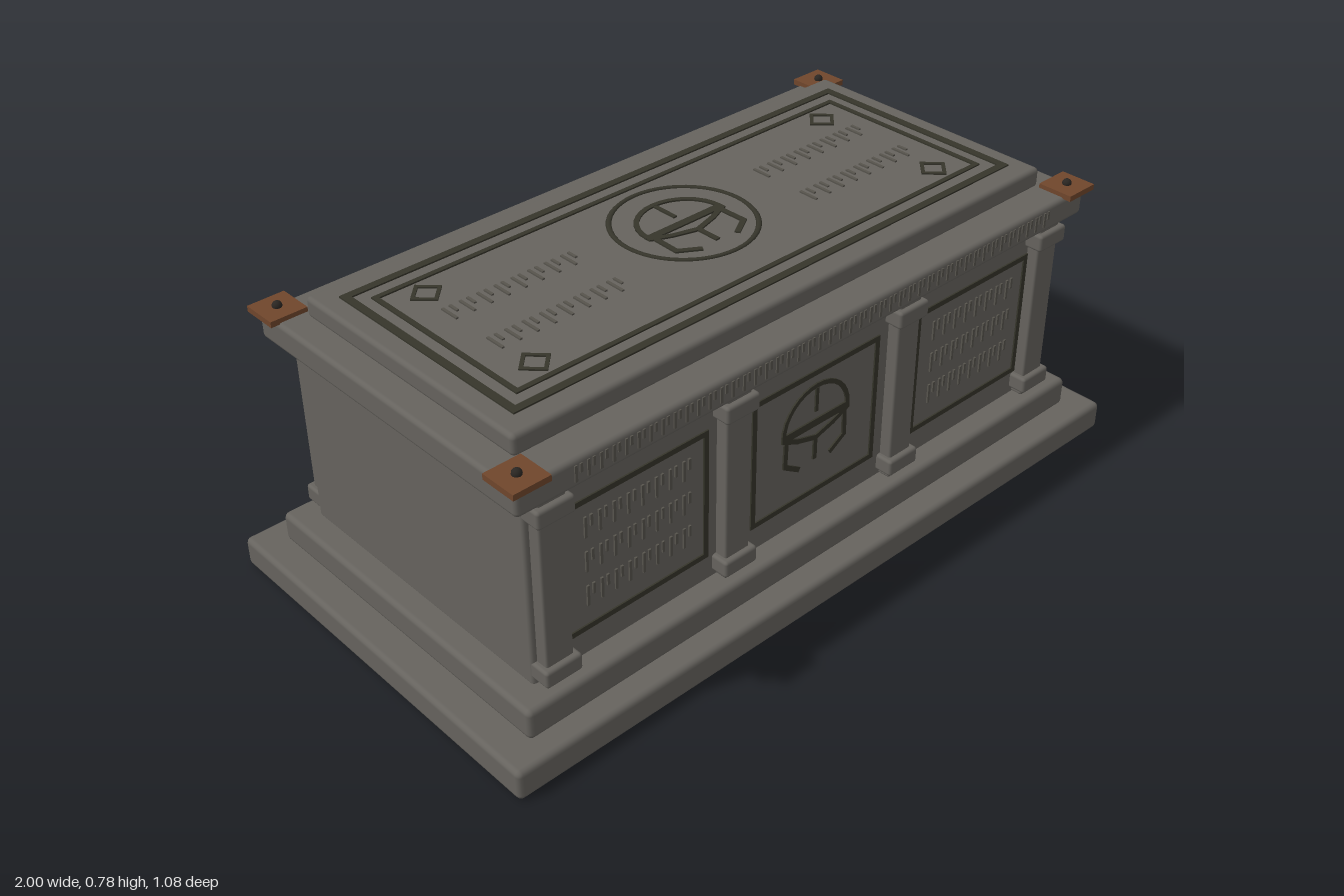
import * as THREE from 'three';
import { RoundedBoxGeometry } from 'three/addons/geometries/RoundedBoxGeometry.js';

const material = (name, color) => {
  const m = new THREE.MeshStandardMaterial({ color });
  m.name = name;
  return m;
};

export function createModel() {
  const stone = material('stone', 0x66635e);
  const carving = material('darkCarving', 0x36352b);
  const notch = material('notchedStone', 0x57544d);
  const copper = material('copper', 0x70462c);
  const iron = material('iron', 0x2a2622);
  const model = new THREE.Group();
  model.name = 'stoneChest';

  const add = (parent, name, geometry, mat, x = 0, y = 0, z = 0) => {
    const mesh = new THREE.Mesh(geometry, mat);
    mesh.name = name;
    mesh.position.set(x, y, z);
    parent.add(mesh);
    return mesh;
  };
  // Rounded block standing between heights y0 and y1
  const block = (name, w, y0, y1, d, x = 0, z = 0, r = 0.01) =>
    add(model, name, new RoundedBoxGeometry(w, y1 - y0, d, 2, r), stone, x, (y0 + y1) / 2, z);

  // Stepped plinth, body and lid
  block('base', 1.994, 0, 0.08, 1.07, 0, 0, 0.014).rotation.y = -0.006;
  block('step', 1.84, 0.078, 0.158, 0.94, 0, 0, 0.014);
  block('body', 1.712, 0.15, 0.665, 0.815);
  block('lid', 1.814, 0.66, 0.73, 0.914, 0, 0, 0.012);
  block('lidSlab', 1.676, 0.725, 0.779, 0.734, 0, 0, 0.012);

  // Pilasters along front and back
  for (const side of [1, -1]) {
    for (const x of [-0.805, -0.28, 0.28, 0.805]) {
      block('pilasterShaft', 0.075, 0.158, 0.662, 0.06, x, side * 0.41, 0.006);
      block('pilasterFoot', 0.1, 0.174, 0.219, 0.09, x, side * 0.41, 0.008);
      block('pilasterCapital', 0.1, 0.6, 0.646, 0.09, x, side * 0.41, 0.008);
    }
  }

  // Corner plates with rivets
  for (const sx of [1, -1]) {
    for (const sz of [1, -1]) {
      add(model, 'cornerPlate', new THREE.BoxGeometry(0.096, 0.015, 0.096), copper, sx * 0.876, 0.734, sz * 0.426);
      add(model, 'rivet', new THREE.SphereGeometry(0.012, 12, 8), iron, sx * 0.876, 0.744, sz * 0.426);
    }
  }

  // Reliefs are drawn in a local xy plane, facing +z
  const depth = 0.008;
  const relief = (name, x, y, z) => {
    const g = new THREE.Group();
    g.name = name;
    g.position.set(x, y, z);
    model.add(g);
    return g;
  };
  const stroke = (parent, points, width, mat = carving) => {
    for (let i = 1; i < points.length; i++) {
      const [x0, y0] = points[i - 1], [x1, y1] = points[i];
      const len = Math.hypot(x1 - x0, y1 - y0);
      const m = add(parent, 'stroke', new THREE.BoxGeometry(len + width * 0.6, width, depth), mat,
        (x0 + x1) / 2, (y0 + y1) / 2);
      m.rotation.z = Math.atan2(y1 - y0, x1 - x0);
    }
  };
  const frame = (parent, w, h, t) => {
    const path = (P, a, b) => {
      const p = new P();
      p.moveTo(-a, -b).lineTo(a, -b).lineTo(a, b).lineTo(-a, b).closePath();
      return p;
    };
    const shape = path(THREE.Shape, w, h);
    shape.holes.push(path(THREE.Path, w - t, h - t));
    return add(parent, 'frame', new THREE.ExtrudeGeometry(shape, { depth: depth / 2, bevelEnabled: false }), carving);
  };
  // Row of decorative notches: one tall, one short
  const notches = (parent, x0, x1, y, count, h) => {
    const pitch = (x1 - x0) / count;
    for (let i = 0; i < count; i++) {
      const x = x0 + pitch * (i + 0.3);
      stroke(parent, [[x, y - h / 2], [x, y + h / 2]], 0.007, notch);
      stroke(parent, [[x + pitch * 0.42, y], [x + pitch * 0.42, y + h / 2]], 0.007, notch);
    }
  };
  // Simple open-faced helm ornament
  const helm = (parent, s) => {
    const g = new THREE.Group();
    g.name = 'helmOrnament';
    g.scale.set(s, s, 1);
    parent.add(g);
    const dome = [];
    for (let i = 0; i <= 16; i++) {
      const a = Math.PI * i / 16;
      dome.push([0.107 * Math.cos(a), 0.1 * Math.sin(a)]);
    }
    stroke(g, dome, 0.012);
    stroke(g, [[0, 0.09], [0, 0.03]], 0.01);
    stroke(g, [[-0.107, -0.004], [0.107, -0.004]], 0.02);
    stroke(g, [[0, -0.045], [0, -0.105]], 0.012);
    for (const k of [-1, 1]) {
      stroke(g, [[k * 0.105, -0.01], [k * 0.06, -0.03], [0, -0.047]], 0.013);
      stroke(g, [[k * 0.098, -0.02], [k * 0.1, -0.085], [k * 0.055, -0.113]], 0.013);
    }
  };

  // Front panels
  for (const x of [-0.555, 0, 0.555]) {
    const panel = relief('frontPanel', x, 0.402, 0.408);
    frame(panel, 0.21, 0.177, 0.014);
    if (x === 0) {
      const centre = new THREE.Group();
      centre.name = 'panelCentre';
      centre.position.y = 0.033;
      panel.add(centre);
      helm(centre, 1);
    } else {
      for (const y of [0.1, 0.008, -0.085]) notches(panel, -0.155, 0.165, y, 8, 0.05);
    }
  }

  // Lid frieze
  notches(relief('frieze', 0, 0.697, 0.456), -0.765, 0.775, 0, 46, 0.036);

  // Carved top
  const top = relief('topCarving', 0, 0.779, 0);
  top.rotation.x = -Math.PI / 2;
  frame(top, 0.787, 0.308, 0.02);
  frame(top, 0.738, 0.256, 0.013);
  for (const sx of [1, -1]) {
    for (const sy of [1, -1]) {
      const diamond = frame(top, 0.031, 0.031, 0.009);
      diamond.name = 'diamond';
      diamond.position.set(sx * 0.637, sy * 0.19, 0);
      diamond.rotation.z = Math.PI / 4;
    }
  }
  for (const y of [0.085, -0.075]) {
    notches(top, -0.665, -0.28, y, 8, 0.05);
    notches(top, 0.295, 0.68, y, 8, 0.05);
  }
  const medallion = new THREE.Group();
  medallion.name = 'medallion';
  medallion.position.y = 0.037;
  top.add(medallion);
  add(medallion, 'ring', new THREE.TorusGeometry(0.178, 0.007, 6, 48), carving).scale.z = 0.6;
  helm(medallion, 1.08);

  return model;
}
